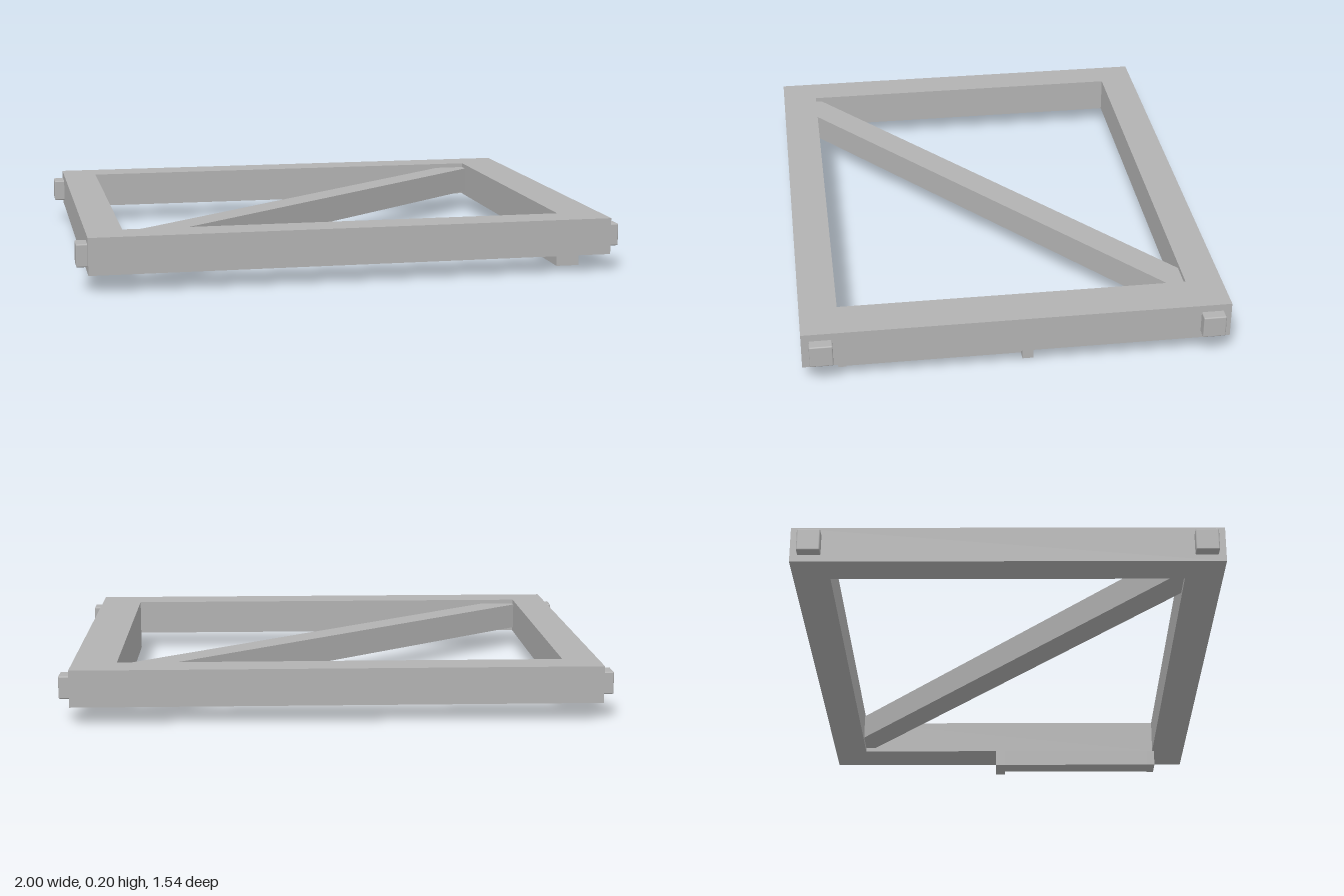
import * as THREE from 'three';
import { RoundedBoxGeometry } from 'three/addons/geometries/RoundedBoxGeometry.js';

export function createModel() {
  const model = new THREE.Group();
  model.name = 'bracedFrame';
  const grey = new THREE.MeshStandardMaterial({ color: 0xb2b2b2 });
  grey.name = 'plain grey';

  const add = (name, geometry) => {
    const mesh = new THREE.Mesh(geometry, grey);
    mesh.name = name;
    model.add(mesh);
    return mesh;
  };

  // Outline points are [x, z]; the slab spans y0 to y1.
  const toPoints = (list) => list.map(([x, z]) => new THREE.Vector2(x, -z));
  const slab = (name, outline, y0, y1, hole) => {
    const shape = new THREE.Shape(toPoints(outline));
    if (hole) shape.holes.push(new THREE.Path(toPoints(hole)));
    const geometry = new THREE.ExtrudeGeometry(shape, { depth: y1 - y0, bevelEnabled: false });
    geometry.rotateX(-Math.PI / 2).translate(0, y0, 0);
    return add(name, geometry);
  };
  const rect = (x0, x1, z0, z1) => [[x0, z0], [x0, z1], [x1, z1], [x1, z0]];
  const block = (name, x0, x1, y0, y1, z0, z1) => slab(name, rect(x0, x1, z0, z1), y0, y1);

  // Rectangular frame, with a wider bar on the left
  slab('frame', rect(-0.96, 0.96, -0.768, 0.768), 0.065, 0.2, rect(-0.828, 0.798, -0.635, 0.632));

  // Diagonal brace, slightly thinner than the frame
  slab('diagonalBrace', [
    [-0.828, 0.607], [-0.828, 0.632], [-0.685, 0.632],
    [0.798, -0.592], [0.798, -0.635], [0.68, -0.635],
  ], 0.082, 0.183);

  // Locating tabs at the ends of the long bars
  for (const sx of [-1, 1]) {
    for (const sz of [-1, 1]) {
      const tab = add('tab', new RoundedBoxGeometry(0.08, 0.083, 0.083, 2, 0.005));
      tab.position.set(sx * 0.96, 0.132, sz * 0.7);
    }
  }

  // Recessed grip under the left bar
  block('gripBar', 0.798, 0.88, 0, 0.065, -0.02, 0.61);
  block('gripFrontEnd', 0.798, 0.885, 0, 0.065, 0.61, 0.64);
  block('gripBackEnd', 0.798, 0.917, 0, 0.065, -0.06, -0.02);
  block('gripLip', 0.88, 0.917, 0.048, 0.065, -0.02, 0.61);

  return model;
}
